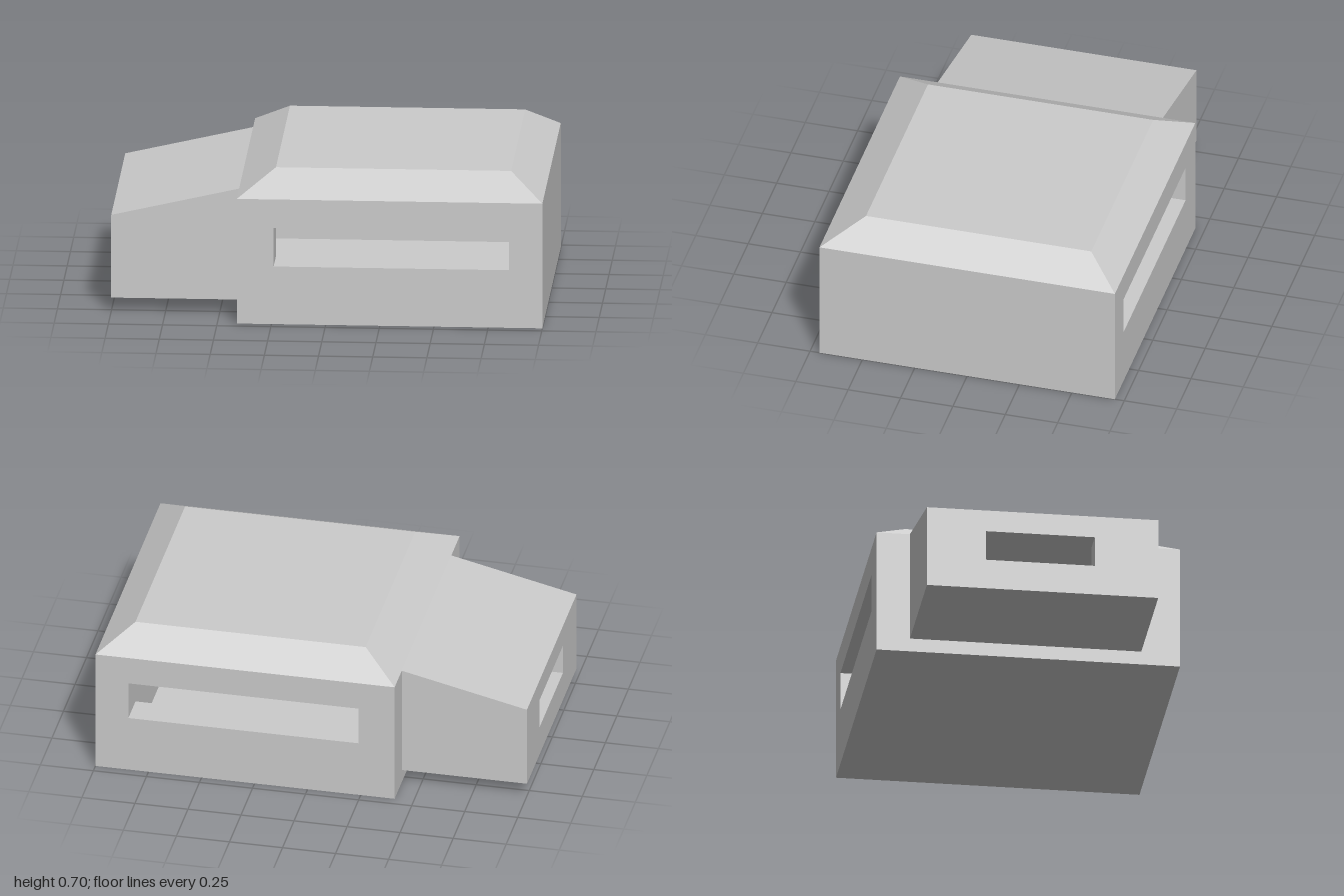
import * as THREE from 'three';

// Main dimensions
const X0 = -0.41, X1 = 1, Z = 0.705;          // main body outline
const IX0 = -0.24, IX1 = 0.845;               // slot and roof-top limits in x
const IZ0 = -0.55, IZ1 = 0.525;               // inner room limits in z
const EAVE = 0.595, TOP = 0.7, FLOOR = 0.065;
const EX = -1, EXTOP = 0.46;                  // outer end of the annex

const material = new THREE.MeshStandardMaterial({
  color: 0xcccccc, flatShading: true, side: THREE.DoubleSide,
});

function add(parent, name, geometry) {
  const mesh = new THREE.Mesh(geometry, material);
  mesh.name = name;
  parent.add(mesh);
  return mesh;
}

function box(x0, x1, y0, y1, z0, z1) {
  return new THREE.BoxGeometry(x1 - x0, y1 - y0, z1 - z0)
    .translate((x0 + x1) / 2, (y0 + y1) / 2, (z0 + z1) / 2);
}

// Rectangular slab pierced by a rectangular opening
function piercedWall([a0, a1, b0, b1], [c0, c1, d0, d1], depth) {
  const v = (x, y) => new THREE.Vector2(x, y);
  const shape = new THREE.Shape([v(a0, b0), v(a1, b0), v(a1, b1), v(a0, b1)]);
  shape.holes.push(new THREE.Path([v(c0, d0), v(c0, d1), v(c1, d1), v(c1, d0)]));
  return new THREE.ExtrudeGeometry(shape, { depth, bevelEnabled: false });
}

// Thin surface from four-cornered panels, corners counter-clockwise from outside
function panels(quads) {
  const pos = [];
  for (const [a, b, c, d] of quads) pos.push(...a, ...b, ...c, ...a, ...c, ...d);
  const g = new THREE.BufferGeometry();
  g.setAttribute('position', new THREE.Float32BufferAttribute(pos, 3));
  g.computeVertexNormals();
  return g;
}

export function createModel() {
  const model = new THREE.Group();
  model.name = 'building';

  // Main body: two long slotted walls, a closed end wall and a floor
  const outline = [X0, X1, 0, EAVE], slot = [IX0, IX1, 0.275, 0.46];
  add(model, 'frontWall', piercedWall(outline, slot, Z - IZ1).translate(0, 0, IZ1));
  add(model, 'backWall', piercedWall(outline, slot, Z + IZ0).translate(0, 0, -Z));
  add(model, 'sideWall', box(IX1, X1, 0, EAVE, IZ0, IZ1));
  add(model, 'floor', box(X0, IX1, 0, FLOOR, IZ0, IZ1));

  // Roof: flat top with four sloping edges
  const ring = (x0, x1, y, z0, z1) => [[x0, y, z1], [x1, y, z1], [x1, y, z0], [x0, y, z0]];
  const low = ring(X0, X1, EAVE, -Z, Z);
  const high = ring(IX0, IX1, TOP, IZ0, IZ1);
  const slopes = low.map((p, i) => {
    const j = (i + 1) % 4;
    return [p, low[j], high[j], high[i]];
  });
  add(model, 'roof', panels([...slopes, high]));

  // Annex: thin shell with sloping top, open towards the main room
  const annex = new THREE.Group();
  annex.name = 'annex';
  model.add(annex);
  const section = (z) => [[EX, FLOOR, z], [X0, FLOOR, z], [X0, EAVE, z], [EX, EXTOP, z]];
  const f = section(IZ1), b = section(IZ0);
  add(annex, 'annexShell', panels([
    f, [...b].reverse(),
    [f[3], f[2], b[2], b[3]],
    [b[0], b[1], f[1], f[0]],
  ]));

  // Annex end wall with window
  const end = piercedWall([IZ0, IZ1, FLOOR, EXTOP], [-0.275, 0.23, 0.21, 0.355], 0.12);
  add(annex, 'annexEndWall', end.rotateY(-Math.PI / 2).translate(EX + 0.12, 0, 0));

  return model;
}
